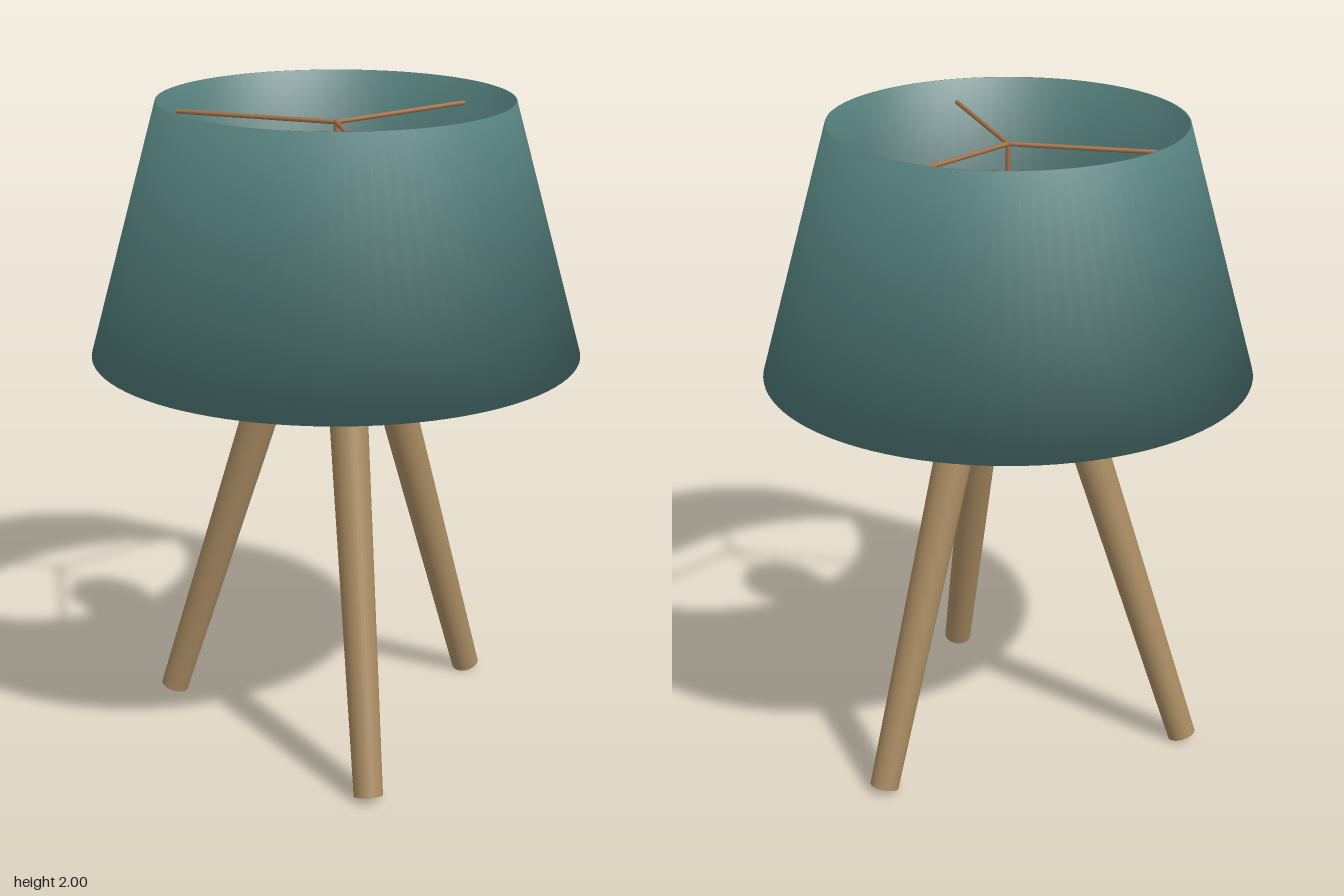
import * as THREE from 'three';

const material = (name, color, side = THREE.FrontSide) => {
  const m = new THREE.MeshStandardMaterial({ color, side });
  m.name = name;
  return m;
};

export function createModel() {
  const model = new THREE.Group();
  model.name = 'tripodLamp';
  const wood = material('wood', 0xa88a61);
  const fabric = material('tealFabric', 0x527c7a);
  const copper = material('copperWire', 0xa0714a);
  const glass = material('creamGlass', 0xe0d4b8);

  const add = (name, geometry, mat) => {
    const mesh = new THREE.Mesh(geometry, mat);
    mesh.name = name;
    model.add(mesh);
    return mesh;
  };

  // Round bar running from one point to another, with its own radius at each end
  const bar = (name, from, to, rFrom, rTo, mat, sides) => {
    const axis = to.clone().sub(from);
    const mesh = add(name, new THREE.CylinderGeometry(rTo, rFrom, axis.length(), sides), mat);
    mesh.position.copy(from).add(to).multiplyScalar(0.5);
    mesh.quaternion.setFromUnitVectors(new THREE.Vector3(0, 1, 0), axis.normalize());
    return mesh;
  };
  const polar = (radius, y, angle) =>
    new THREE.Vector3(Math.cos(angle) * radius, y, Math.sin(angle) * radius);
  const upright = (name, y0, y1, radius, mat, sides) =>
    bar(name, new THREE.Vector3(0, y0, 0), new THREE.Vector3(0, y1, 0), radius, radius, mat, sides);

  // Shade: thin-walled cone, open at both ends
  const wall = 0.005, rBottom = 0.74, rTop = 0.53, yBottom = 1.235, yTop = 2;
  const profile = [
    [rBottom, yBottom], [rTop, yTop], [rTop - wall, yTop], [rBottom - wall, yBottom], [rBottom, yBottom],
  ].map(([x, y]) => new THREE.Vector2(x, y));
  const shade = new THREE.LatheGeometry(profile, 96);
  // Soft rims: each corner's normal is the mean of the wall and rim directions
  const out = new THREE.Vector2(yTop - yBottom, rBottom - rTop).normalize();
  const corner = (sign, rim) => new THREE.Vector2(sign * out.x, sign * out.y + rim).normalize();
  const soft = [corner(1, -1), corner(1, 1), corner(-1, 1), corner(-1, -1), corner(1, -1)];
  const pos = shade.attributes.position;
  for (let i = 0; i < pos.count; i++) {
    const n = soft[i % soft.length];
    const r = Math.hypot(pos.getX(i), pos.getZ(i));
    shade.attributes.normal.setXYZ(i, n.x * pos.getX(i) / r, n.y, n.x * pos.getZ(i) / r);
  }
  add('shade', shade, fabric);

  // Hub, bulb socket and bulb
  upright('hub', 1.13, 1.257, 0.16, wood, 48);
  upright('socket', 1.25, 1.39, 0.063, wood, 32);
  const bulb = add('bulb', new THREE.SphereGeometry(0.128, 40, 28), glass);
  bulb.scale.y = 1.17;
  bulb.position.y = 1.52;

  // Wire stem carrying the shade
  upright('stem', 1.66, 1.937, 0.007, copper, 10);

  // Three splayed legs and three shade arms
  for (let i = 0; i < 3; i++) {
    const angle = (i * Math.PI * 2) / 3;
    bar('leg', polar(0.57, 0.0135, angle), polar(0.17, 1.25, angle), 0.044, 0.06, wood, 32);
    bar('shadeArm', polar(0, 1.93, angle), polar(0.513, 1.93, angle), 0.007, 0.007, copper, 10);
  }
  return model;
}
